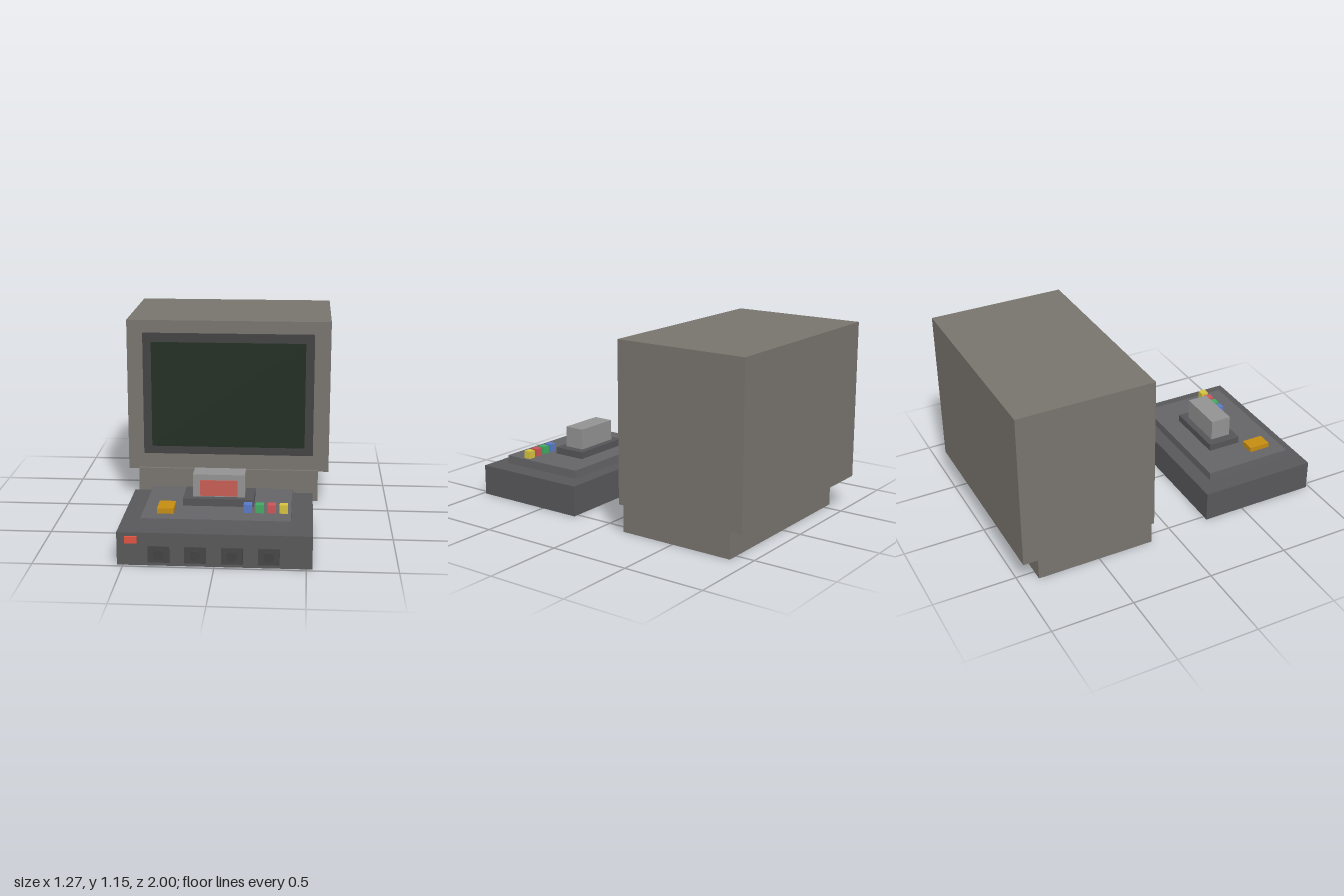
import * as THREE from 'three';

export function createModel() {
  const model = new THREE.Group();
  const mat = (color) => new THREE.MeshStandardMaterial({ color });
  const beige = mat(0x78746e), dark = mat(0x424242), glass = mat(0x222e22);
  const shell = mat(0x58585a), deck = mat(0x646468), port = mat(0x464646);
  const neckMat = mat(0x555558), grey = mat(0x929292);

  // box from its extents on each axis
  const box = (name, material, [x0, x1], [y0, y1], [z0, z1]) => {
    const mesh = new THREE.Mesh(new THREE.BoxGeometry(x1 - x0, y1 - y0, z1 - z0), material);
    mesh.position.set((x0 + x1) / 2, (y0 + y1) / 2, (z0 + z1) / 2);
    mesh.name = name;
    model.add(mesh);
  };
  const sym = (h) => [-h, h];

  // monitor
  box('monitorCabinet', beige, sym(0.633), [0.19, 1.147], [-1, -0.174]);
  box('monitorBase', beige, sym(0.567), [0, 0.199], [-0.885, -0.154]);
  box('screenBezel', dark, sym(0.533), [0.296, 1.068], [-0.2, -0.158]);
  box('screen', glass, sym(0.48), [0.347, 1.013], [-0.19, -0.15]);

  // console body, stepped upwards
  box('consoleBody', shell, sym(0.533), [0, 0.188], [0.246, 0.98]);
  box('consoleDeck', deck, sym(0.412), [0.188, 0.24], [0.335, 0.892]);
  box('cartridgeSlot', neckMat, sym(0.2), [0.24, 0.283], [0.46, 0.67]);
  box('cartridge', grey, sym(0.147), [0.283, 0.413], [0.5, 0.63]);
  box('cartridgeLabel', mat(0xc65d54), sym(0.107), [0.29, 0.381], [0.62, 0.638]);

  // deck switches
  box('powerSwitch', mat(0xc58c12), [-0.33, -0.238], [0.24, 0.27], [0.678, 0.811]);
  [0x587ac8, 0x42aa62, 0xcc5558, 0xd6c23e].forEach((color, i) => {
    const x = 0.171 + i * 0.0665;
    box('colourButton', mat(color), [x - 0.023, x + 0.023], [0.24, 0.288], [0.723, 0.769]);
  });

  // front panel lamp and controller ports
  box('powerLamp', mat(0xdf5340), [-0.489, -0.421], [0.13, 0.167], [0.97, 0.994]);
  for (let i = 0; i < 4; i++) {
    const x = -0.303 + i * 0.2;
    box('portPlate', port, [x - 0.059, x + 0.059], [0.021, 0.113], [0.97, 0.99]);
    const plug = new THREE.Mesh(new THREE.CylinderGeometry(0.029, 0.029, 0.03, 24), dark);
    plug.rotation.x = Math.PI / 2;
    plug.position.set(x, 0.067, 0.985);
    plug.name = 'portSocket';
    model.add(plug);
  }
  return model;
}
